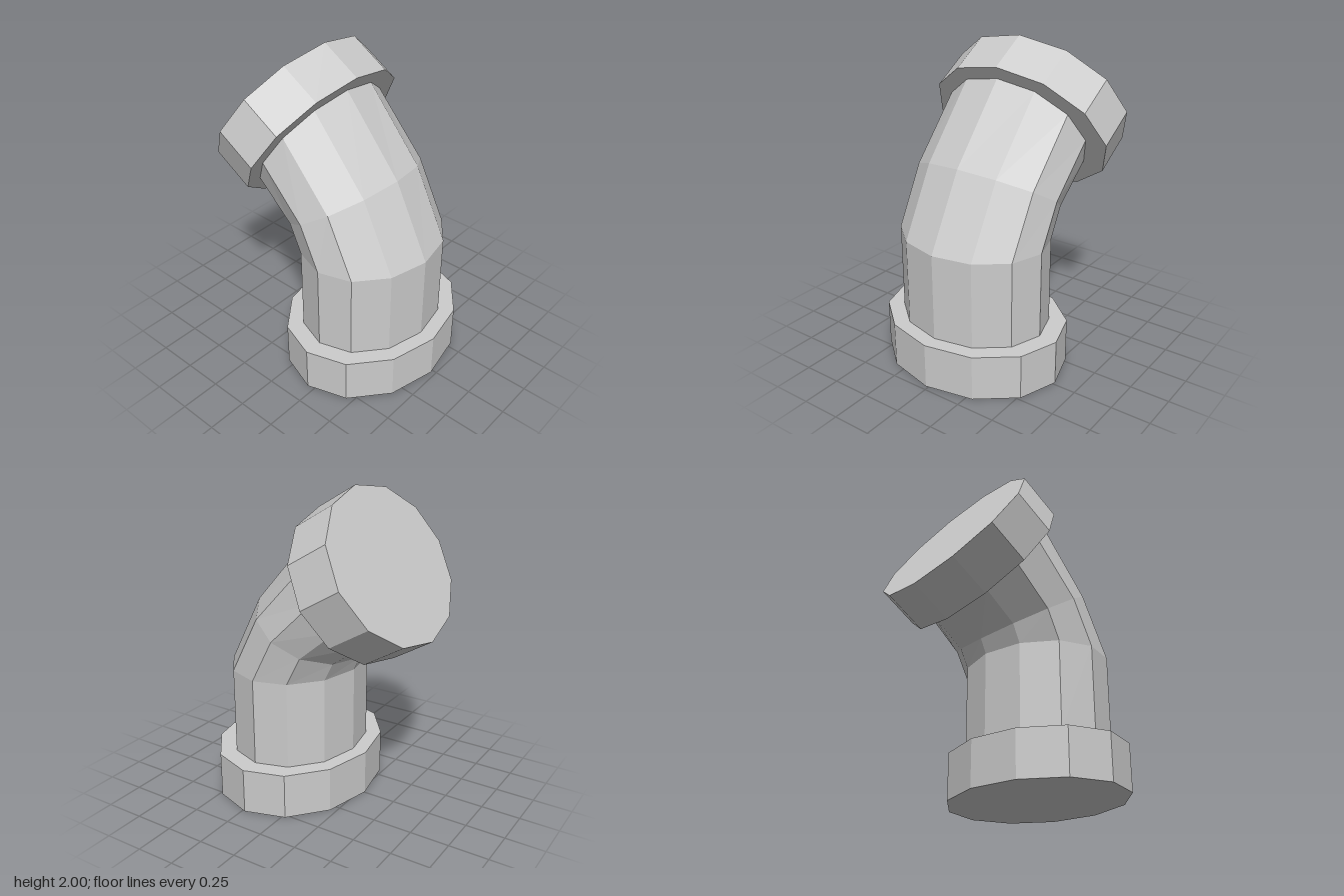
import * as THREE from 'three';

const SIDES = 12;

// Oval cross-section: centre c, tilt in the xy plane, long radii, and slight skew of both axes
function ring({ c, tilt = 0, rx, rz, skewX = 0, skewZ = 0 }) {
  const u = new THREE.Vector3(Math.cos(tilt), Math.sin(tilt), 0);
  const points = [];
  for (let k = 0; k < SIDES; k++) {
    const a = (k / SIDES) * Math.PI * 2;
    const p = new THREE.Vector3(...c);
    p.addScaledVector(u, rx * Math.cos(a) + skewX * Math.sin(a));
    p.z += rz * Math.sin(a) + skewZ * Math.cos(a);
    points.push(p);
  }
  return { points, centre: new THREE.Vector3(...c) };
}

// Faceted skin through a list of rings, optionally closed at both ends
function loft(name, rings, capped, material) {
  const positions = [];
  const tri = (...corners) => corners.forEach((p) => positions.push(p.x, p.y, p.z));
  const last = rings[rings.length - 1];
  for (let k = 0; k < SIDES; k++) {
    const n = (k + 1) % SIDES;
    for (let i = 0; i < rings.length - 1; i++) {
      const lo = rings[i].points, hi = rings[i + 1].points;
      tri(lo[k], hi[k], lo[n]);
      tri(hi[k], hi[n], lo[n]);
    }
    if (capped) {
      tri(rings[0].centre, rings[0].points[k], rings[0].points[n]);
      tri(last.centre, last.points[n], last.points[k]);
    }
  }
  const geometry = new THREE.BufferGeometry();
  geometry.setAttribute('position', new THREE.Float32BufferAttribute(positions, 3));
  geometry.computeVertexNormals();
  const mesh = new THREE.Mesh(geometry, material);
  mesh.name = name;
  return mesh;
}

export function createModel() {
  const group = new THREE.Group();
  group.name = 'pipeElbow';
  const material = new THREE.MeshStandardMaterial({ color: 0xcccccc, flatShading: true });
  const pipeMaterial = material.clone();
  pipeMaterial.side = THREE.DoubleSide;

  const endTilt = Math.atan2(0.43, 0.2625);
  const collar = { rx: 0.503, rz: 0.614 };
  const pipe = { rx: 0.4075, rz: 0.4975 };
  const baseSkew = { skewX: -0.015, skewZ: 0.007 };
  const endSkew = { skewX: 0.012, skewZ: -0.007 };

  // Collar the elbow stands on
  group.add(loft('bottomCollar', [0, 0.29].map((y) =>
    ring({ c: [0.2175, y, 0.012], ...collar, ...baseSkew })), true, material));

  // Upright pipe, mitred bend and slanted end
  group.add(loft('bentPipe', [
    ring({ c: [0.2175, 0.29, 0.015], ...pipe, skewX: -0.012, skewZ: 0.006 }),
    ring({ c: [0.2175, 0.845, 0.015], ...pipe, skewX: -0.012, skewZ: 0.006 }),
    ring({ c: [0.077, 1.122, 0.01], tilt: Math.atan2(0.188, 0.307), rx: 0.36, rz: 0.497, skewX: -0.006 }),
    ring({ c: [-0.2175, 1.42, 0.005], tilt: endTilt, ...pipe }),
  ], false, pipeMaterial));

  // Collar on the slanted end
  group.add(loft('topCollar', [[-0.2175, 1.42], [-0.4625, 1.57]].map(([x, y]) =>
    ring({ c: [x, y, -0.015], tilt: endTilt, ...collar, ...endSkew })), true, material));

  return group;
}
